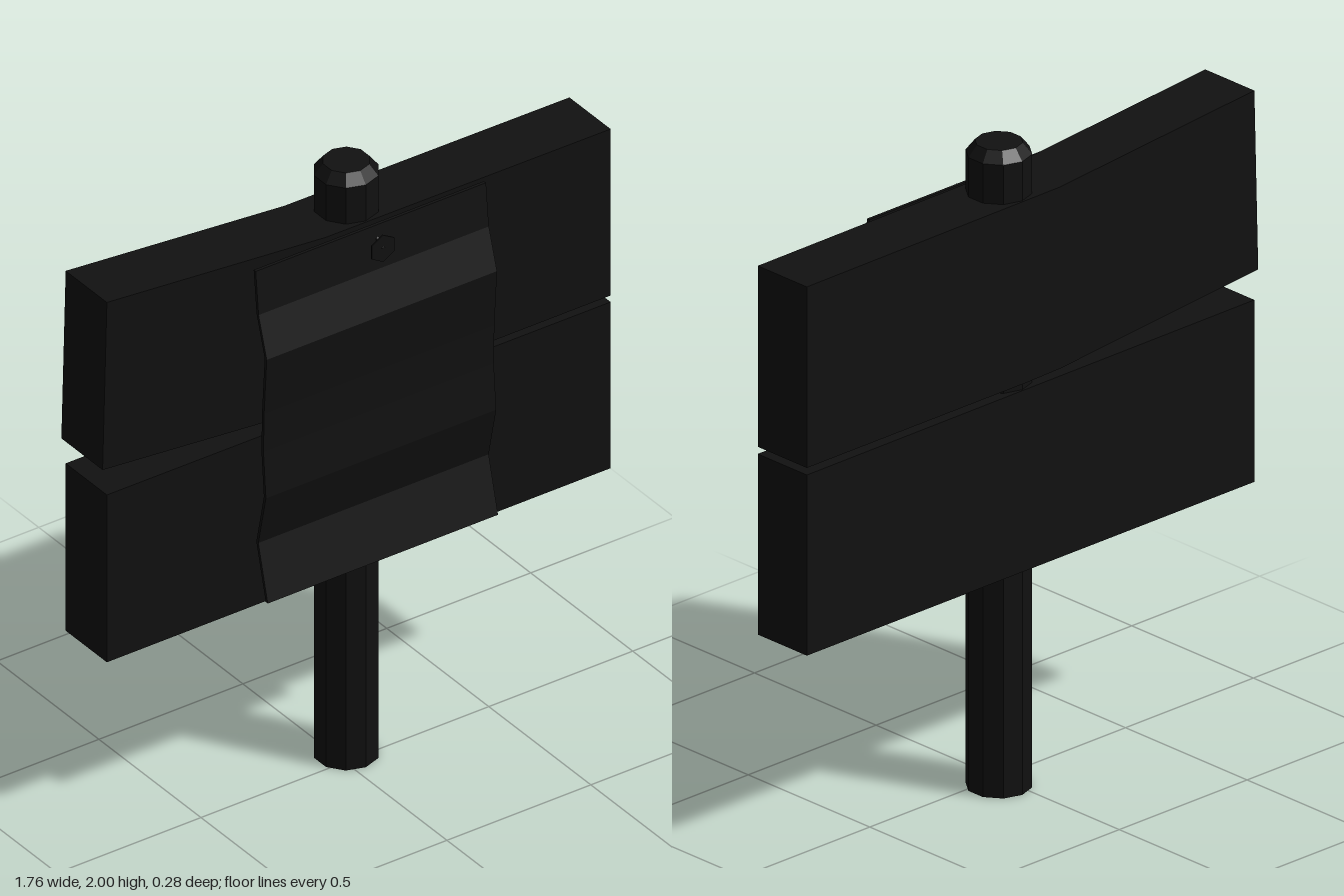
import * as THREE from 'three';

export function createModel() {
  const group = new THREE.Group();
  const dark = new THREE.MeshStandardMaterial({ color: 0x111111, flatShading: true });
  const smooth = new THREE.MeshStandardMaterial({ color: 0x111111 });

  const add = (name, geometry, material = dark) => {
    const mesh = new THREE.Mesh(geometry, material);
    mesh.name = name;
    group.add(mesh);
    return mesh;
  };
  const extrude = (points, depth) => new THREE.ExtrudeGeometry(
    new THREE.Shape(points.map(([x, y]) => new THREE.Vector2(x, y))),
    { depth, bevelEnabled: false });

  // Ten-sided post with a chamfered top
  const r = 0.096;
  const profile = [[0, 0], [r, 0], [r, 1.966], [0.069, 2], [0, 2]];
  add('post', new THREE.LatheGeometry(profile.map(([x, y]) => new THREE.Vector2(x, y)), 10))
    .position.set(0.033, 0, -0.04);

  // Two boards; the upper one is bent upward at its right end
  const boards = {
    lowerBoard: [[-0.87, 0.695], [0.88, 0.695], [0.88, 1.256], [-0.87, 1.26]],
    upperBoard: [[-0.885, 1.35], [-0.11, 1.281], [0.02, 1.278], [0.88, 1.278],
      [0.88, 1.84], [-0.11, 1.845], [-0.87, 1.91]],
  };
  for (const [name, outline] of Object.entries(boards)) {
    add(name, extrude(outline, 0.202)).position.z = -0.141;
  }

  // Thin wavy notice sheet: (z, y) profile given thickness and swept across x
  const wave = [[0.08, 1.84], [0.094, 1.7], [0.134, 1.57], [0.121, 1.38],
    [0.118, 1.25], [0.13, 1.1], [0.093, 0.93], [0.139, 0.75]];
  const t = 0.005;
  const section = [
    ...wave.map(([z, y]) => [-z - t, y]),
    ...wave.slice().reverse().map(([z, y]) => [-z + t, y]),
  ];
  const sheet = extrude(section, 0.8);
  sheet.rotateY(Math.PI / 2);
  add('noticeSheet', sheet).position.x = -0.37;

  // Nail holding the sheet: slanted shank and thin flat head
  const shank = add('nailShank', new THREE.CylinderGeometry(0.006, 0.006, 0.07, 6), smooth);
  shank.position.set(0.05, 1.797, 0.087);
  shank.rotation.x = Math.PI / 2 + 0.6;
  const head = add('nailHead', new THREE.CylinderGeometry(0.045, 0.045, 0.004, 6));
  head.position.set(0.05, 1.777, 0.115);
  head.rotation.x = Math.PI / 2;

  return group;
}
